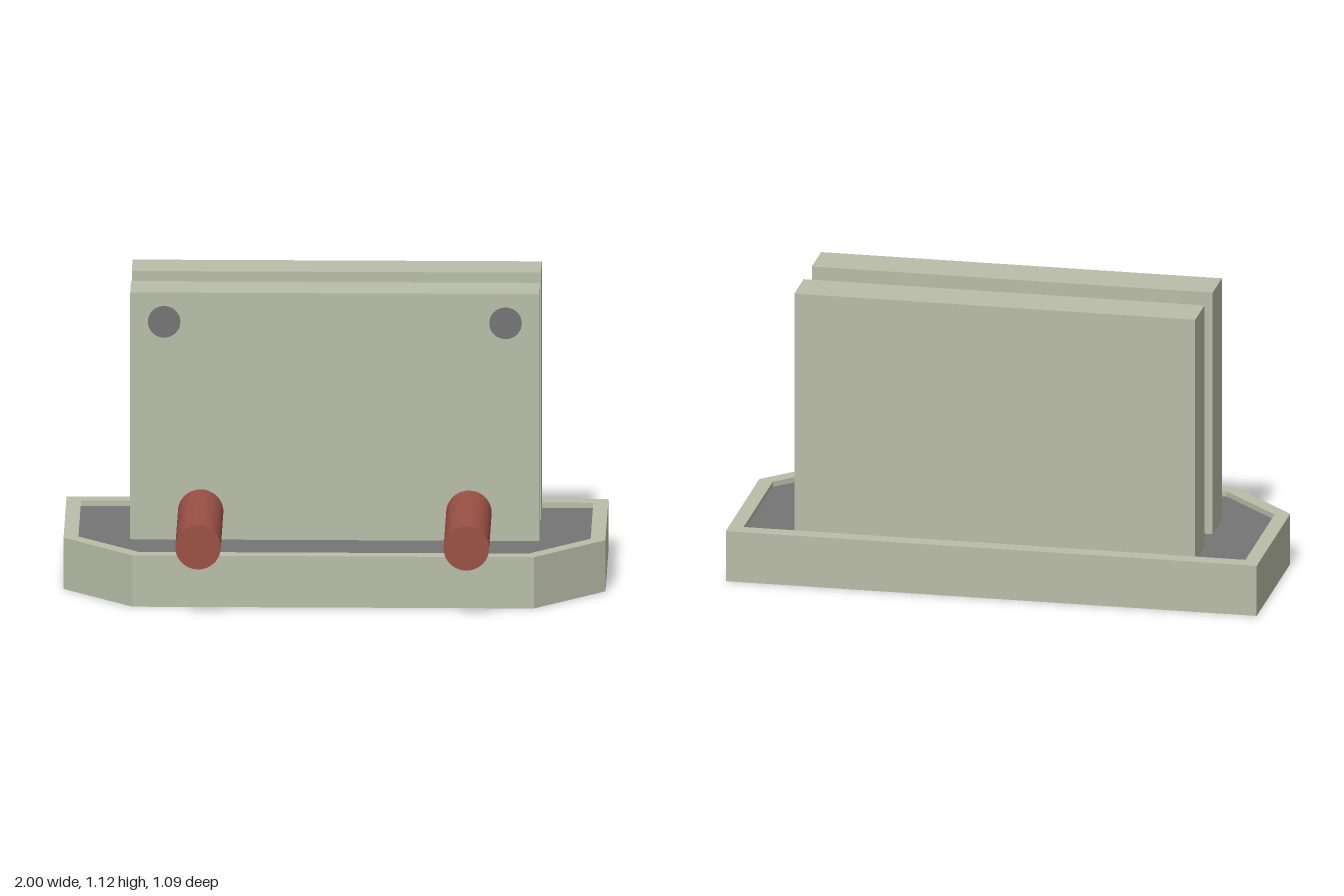
import * as THREE from 'three';

const stone = new THREE.MeshStandardMaterial({ color: 0xb9bda9 });
stone.name = 'pale stone';
const red = new THREE.MeshStandardMaterial({ color: 0x9b5145 });
red.name = 'brick red';
const grey = new THREE.MeshStandardMaterial({ color: 0x757575 });
grey.name = 'dark grey';

// Rectangle with its two front corners cut off, as [x, -z] points
function outline(halfWidth, back, front, cutX, cutZ) {
  return [
    [-halfWidth, -back], [-halfWidth, -cutZ], [-cutX, -front],
    [cutX, -front], [halfWidth, -cutZ], [halfWidth, -back],
  ].map(([x, y]) => new THREE.Vector2(x, y));
}

export function createModel() {
  const model = new THREE.Group();
  model.name = 'plateStand';

  const add = (name, geometry, material, x = 0, y = 0, z = 0) => {
    const mesh = new THREE.Mesh(geometry, material);
    mesh.name = name;
    mesh.position.set(x, y, z);
    model.add(mesh);
  };
  // Flat shape laid on the ground plane and raised to a height
  const slab = (name, shape, material, y0, y1) => {
    const geometry = new THREE.ExtrudeGeometry(shape, { depth: y1 - y0, bevelEnabled: false });
    add(name, geometry.rotateX(-Math.PI / 2), material, 0, y0, 0);
  };
  const block = (name, material, halfWidth, y0, y1, z0, z1) =>
    add(name, new THREE.BoxGeometry(2 * halfWidth, y1 - y0, z1 - z0), material,
      0, (y0 + y1) / 2, (z0 + z1) / 2);

  // Tray: solid base, raised rim and dark floor
  const outer = outline(1, -0.545, 0.33, 0.74, 0.07);
  const inner = outline(0.945, -0.485, 0.275, 0.72, 0.05);
  const floor = 0.175, rimTop = 0.195;
  slab('trayBase', new THREE.Shape(outer), stone, 0, floor - 0.005);
  const rim = new THREE.Shape(outer);
  rim.holes.push(new THREE.Path(inner));
  slab('trayRim', rim, stone, floor - 0.005, rimTop);
  slab('trayFloor', new THREE.Shape(inner), grey, floor - 0.005, floor);

  // Two upright plates around a red core
  block('frontPlate', stone, 0.755, floor, 1.115, -0.16, 0.01);
  block('backPlate', stone, 0.755, floor, 1.115, -0.48, -0.31);
  block('core', red, 0.7, floor, 1.057, -0.31, -0.16);

  // Pegs and round inlays on the front plate
  for (const side of [-1, 1]) {
    const peg = new THREE.CylinderGeometry(0.084, 0.084, 0.54, 48).rotateX(Math.PI / 2);
    add(side > 0 ? 'leftPeg' : 'rightPeg', peg, red, side * 0.495, 0.282, 0.275);
    const dot = new THREE.CylinderGeometry(0.06, 0.06, 0.004, 40).rotateX(Math.PI / 2);
    add(side > 0 ? 'leftInlay' : 'rightInlay', dot, grey, side * 0.63, 1.004, 0.01);
  }
  return model;
}
